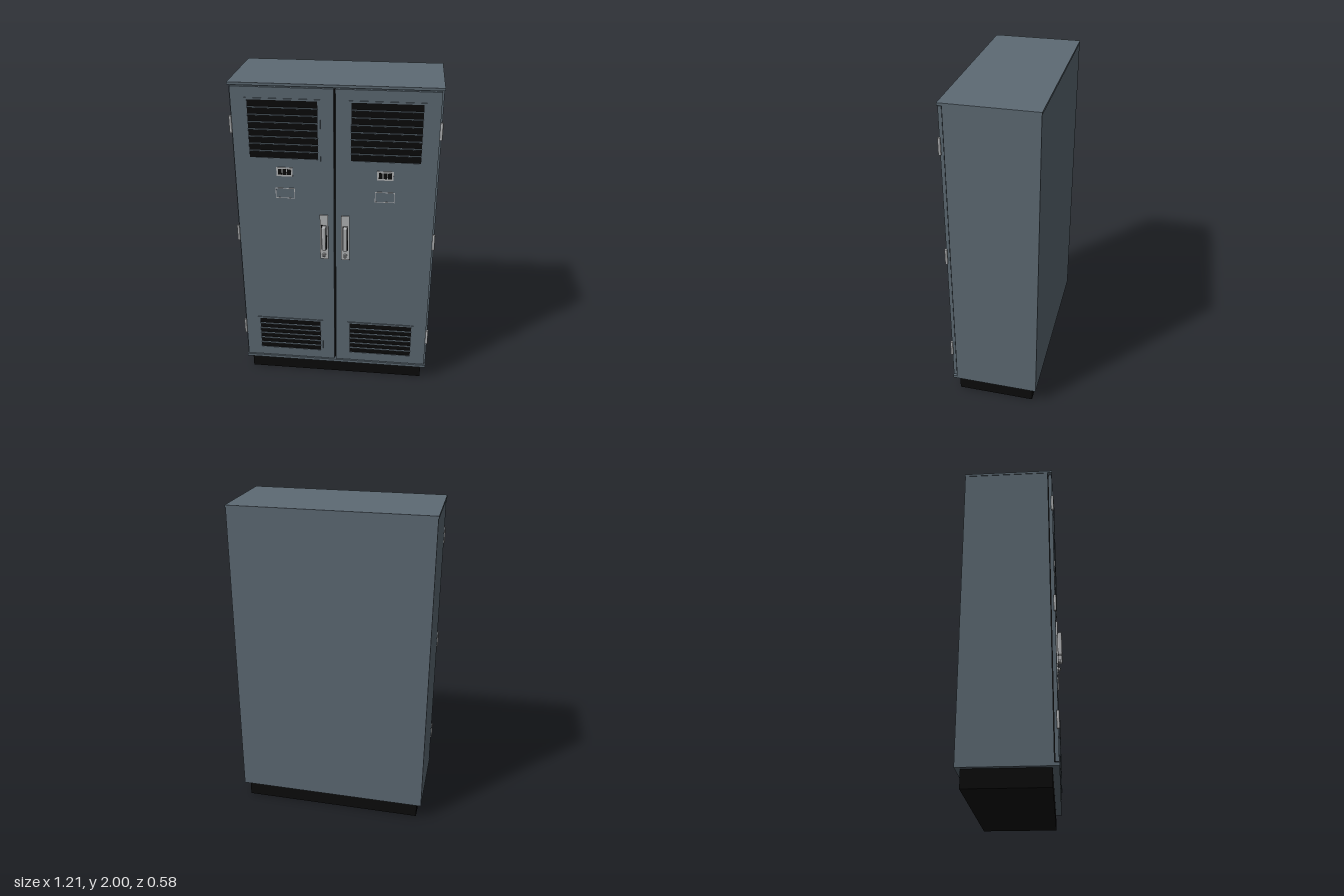
import * as THREE from 'three';
import { RoundedBoxGeometry } from 'three/addons/geometries/RoundedBoxGeometry.js';

const material = (name, color) => {
  const m = new THREE.MeshStandardMaterial({ color });
  m.name = name;
  return m;
};

export function createModel() {
  const steel = material('blue grey steel', 0x5d6a74);
  const black = material('black', 0x0b0b0b);
  const metal = material('light grey metal', 0xb4b6b8);

  const model = new THREE.Group();
  model.name = 'cabinet';

  const add = (parent, name, geometry, mat, x = 0, y = 0, z = 0) => {
    const mesh = new THREE.Mesh(geometry, mat);
    mesh.name = name;
    mesh.position.set(x, y, z);
    parent.add(mesh);
    return mesh;
  };

  // Box given by its limits on each axis
  const block = (parent, name, mat, x0, x1, y0, y1, z0, z1) =>
    add(parent, name, new THREE.BoxGeometry(x1 - x0, y1 - y0, z1 - z0), mat,
      (x0 + x1) / 2, (y0 + y1) / 2, (z0 + z1) / 2);

  // Rectangular frame with an open middle, starting at z
  const frame = (parent, name, mat, cx, cy, z, w, h, innerW, innerH, depth) => {
    const corners = (a, b) => [[-a, -b], [a, -b], [a, b], [-a, b]]
      .map(([x, y]) => new THREE.Vector2(x / 2, y / 2));
    const shape = new THREE.Shape(corners(w, h));
    shape.holes.push(new THREE.Path(corners(innerW, innerH).reverse()));
    return add(parent, name,
      new THREE.ExtrudeGeometry(shape, { depth, bevelEnabled: false }), mat, cx, cy, z);
  };

  // Carcass
  block(model, 'plinth', black, -0.57, 0.57, 0, 0.108, -0.26, 0.22);
  block(model, 'body', steel, -0.6, 0.6, 0.105, 1.987, -0.288, 0.23);
  block(model, 'topPanel', steel, -0.603, 0.603, 1.985, 2, -0.29, 0.257);
  block(model, 'bottomLip', steel, -0.6, 0.6, 0.105, 0.123, 0.23, 0.257);
  block(model, 'doorSeal', black, -0.585, 0.585, 0.134, 1.972, 0.229, 0.236);

  // Ventilation grille with tilted slats
  const addGrille = (door, y0, y1, slats) => {
    const grille = new THREE.Group();
    grille.name = 'grille';
    door.add(grille);
    const cx = 0.295, cy = (y0 + y1) / 2, h = y1 - y0;
    frame(grille, 'grilleFrame', steel, cx, cy, 0.255, 0.43, h + 0.02, 0.4, h, 0.005);
    block(grille, 'grilleOpening', black, 0.095, 0.495, y0, y1, 0.253, 0.2565);
    for (let i = 1; i <= slats; i++) {
      const slat = add(grille, 'slat', new THREE.BoxGeometry(0.4, 0.004, 0.01), steel,
        cx, y0 + (h * i) / (slats + 1), 0.26);
      slat.rotation.x = 0.3;
    }
  };

  // Handle plate, grip and lock
  const addHandle = (door) => {
    const handle = new THREE.Group();
    handle.name = 'handle';
    handle.position.set(0.065, 0, 0);
    door.add(handle);
    block(handle, 'handlePlate', metal, -0.025, 0.025, 0.905, 1.205, 0.255, 0.264);
    frame(handle, 'gripShadowLine', black, 0, 1.055, 0.264, 0.033, 0.167, 0.024, 0.158, 0.0008);
    add(handle, 'grip', new RoundedBoxGeometry(0.025, 0.16, 0.028, 3, 0.008), metal, 0, 1.055, 0.276);
    const lock = add(handle, 'lock', new THREE.CylinderGeometry(0.012, 0.012, 0.014, 20), metal, 0, 0.935, 0.27);
    lock.rotation.x = Math.PI / 2;
    block(handle, 'keySlot', black, -0.0025, 0.0025, 0.927, 0.943, 0.276, 0.278);
  };

  for (const side of [1, -1]) {
    const door = new THREE.Group();
    door.name = side > 0 ? 'leftDoor' : 'rightDoor';
    // All door parts are symmetric boxes or frames, so mirror by position below
    block(door, 'doorPanel', steel, 0.005, 0.59, 0.13, 1.977, 0.235, 0.255);
    addGrille(door, 1.56, 1.905, 7);
    addGrille(door, 0.195, 0.425, 5);

    // Meter with three windows
    block(door, 'meter', metal, 0.247, 0.343, 1.447, 1.503, 0.255, 0.26);
    for (const dx of [-0.027, 0, 0.027]) {
      block(door, 'meterWindow', black, 0.284 + dx, 0.306 + dx, 1.457, 1.493, 0.259, 0.261);
    }

    // Nameplate
    frame(door, 'labelRim', metal, 0.295, 1.338, 0.255, 0.116, 0.066, 0.108, 0.058, 0.003);
    block(door, 'labelFace', steel, 0.241, 0.349, 1.309, 1.367, 0.254, 0.257);

    addHandle(door);

    // Hinges
    for (const y of [0.355, 1.055, 1.755]) {
      add(door, 'hinge', new THREE.CylinderGeometry(0.008, 0.008, 0.1, 16), metal, 0.597, y, 0.255);
    }
    for (const part of door.children) {
      if (part.name === 'grille') part.position.x = side > 0 ? 0 : -0.59;
      else part.position.x *= side;
    }
    model.add(door);
  }
  return model;
}
